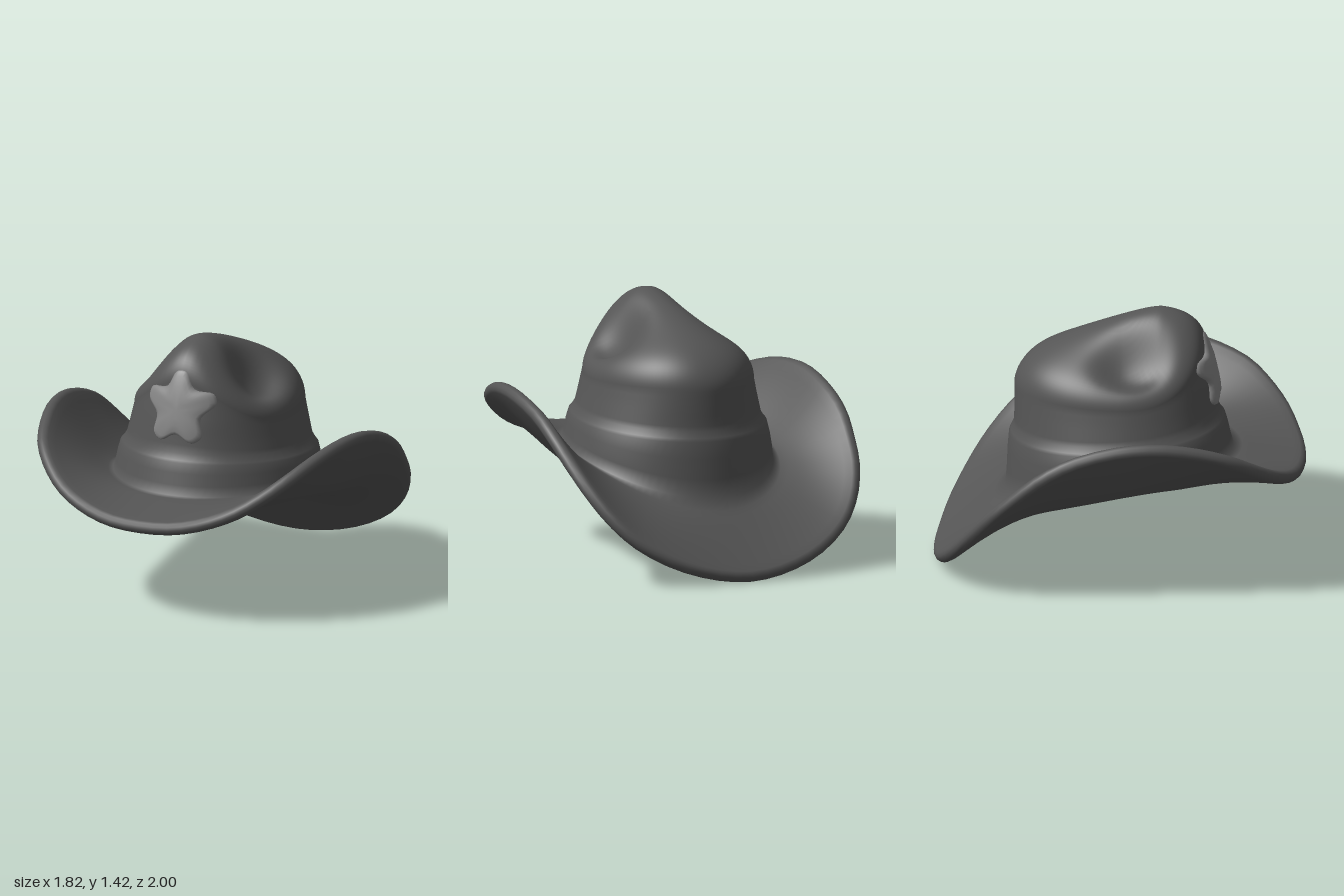
import * as THREE from 'three';
import { mergeVertices } from 'three/addons/utils/BufferGeometryUtils.js';

const SEG = 80;
const felt = new THREE.MeshStandardMaterial({ color: 0x555555 });
felt.name = 'dark grey felt';
const metal = new THREE.MeshStandardMaterial({ color: 0x858585 });
metal.name = 'light grey badge';

// Joins closed rings of Vector3 into one smooth skin
function loft(rings) {
  const n = rings[0].length, pos = [], idx = [];
  rings.forEach(r => r.forEach(p => pos.push(p.x, p.y, p.z)));
  for (let i = 0; i < rings.length - 1; i++) {
    for (let j = 0; j < n; j++) {
      const k = (j + 1) % n;
      const a = i * n + j, b = a + n, c = (i + 1) * n + k, d = i * n + k;
      idx.push(a, b, d, b, c, d);
    }
  }
  let g = new THREE.BufferGeometry();
  g.setAttribute('position', new THREE.Float32BufferAttribute(pos, 3));
  g.setIndex(idx);
  g = mergeVertices(g, 1e-5);
  g.computeVertexNormals();
  return g;
}

// Piecewise linear lookup in [key, value] pairs
function lookup(table, y) {
  if (y <= table[0][0]) return table[0][1];
  for (let i = 1; i < table.length; i++) {
    const [y0, v0] = table[i - 1], [y1, v1] = table[i];
    if (y <= y1) return v0 + (v1 - v0) * (y - y0) / (y1 - y0);
  }
  return table[table.length - 1][1];
}

// Crown half width, front depth and back depth by height
const WIDTH = [[0.35, 0.55], [0.6, 0.535], [0.8, 0.485], [0.9, 0.458], [1.0, 0.433], [1.2, 0.395]];
const FRONT = [[0.6, 0.59], [0.8, 0.54], [0.9, 0.522], [1.0, 0.508], [1.15, 0.475], [1.3, 0.425]];
const BACK = [[0.35, 0.6], [0.6, 0.585], [0.8, 0.573], [1.0, 0.573]];

function wall(phi, y, grow) {
  const c = Math.cos(phi);
  const depth = lookup(c > 0 ? FRONT : BACK, y) + grow;
  return new THREE.Vector3((lookup(WIDTH, y) + grow) * Math.sin(phi), y, depth * c);
}

// Height where the crown meets the middle of the brim
const baseY = phi => 0.595 - 0.333 * Math.pow(Math.max(0, 0.25 - 0.61 * Math.cos(phi)), 1.65);
const bandTop = phi => 0.765 + 0.045 * Math.cos(phi);
const shoulderY = phi => 0.97 + 0.23 * Math.pow(Math.max(0, Math.cos(phi)), 3);

// Central ridge falling to the back, pinched on both sides
function topY(x, z) {
  const ridge = 1.425 - 0.4 * Math.pow(Math.max(0, 0.22 - z), 1.25);
  const r2 = ((Math.abs(x) - 0.265) / 0.115) ** 2 + ((z - 0.09) / 0.18) ** 2;
  return 1.13 + (ridge - 1.13) * Math.exp(-((x / 0.28) ** 2)) - 0.12 * Math.exp(-(r2 ** 1.3));
}

// Crown rings from the apex down to the brim
function crownRings(phis) {
  const rings = [], TOP = 28;
  for (let i = 0; i < TOP; i++) {
    const q = Math.sin((i / TOP) * Math.PI / 2);
    rings.push(phis.map(phi => {
      const yE = shoulderY(phi), e = wall(phi, yE, 0);
      const x = e.x * q, z = e.z * q;
      const power = 4 + 4 * Math.max(0, -Math.cos(phi));
      return new THREE.Vector3(x, yE + (topY(x, z) - yE) * Math.sqrt(1 - q ** power), z);
    }));
  }
  for (let i = 0; i <= 8; i++) {
    rings.push(phis.map(phi => {
      const lo = bandTop(phi) + 0.035, hi = shoulderY(phi);
      return wall(phi, hi + (lo - hi) * i / 8, 0);
    }));
  }
  // Raised hat band at the foot
  for (const [t, bulge] of [[0, 0.6], [0.06, 1], [0.35, 1.1], [0.7, 1], [1, 1.1]]) {
    rings.push(phis.map(phi => {
      const lo = baseY(phi) + 0.033 + 0.03 * Math.max(0, -Math.cos(phi)), hi = bandTop(phi);
      return wall(phi, hi + (lo - hi) * t, 0.022 * bulge);
    }));
  }
  return rings;
}

// Brim edge, left half from front to back
const EDGE = [
  [0, 0.55, 0.99], [0.2, 0.56, 0.974], [0.38, 0.6, 0.928], [0.53, 0.66, 0.867], [0.66, 0.74, 0.77],
  [0.76, 0.82, 0.65], [0.83, 0.885, 0.47], [0.88, 0.92, 0.27], [0.905, 0.91, 0.05], [0.905, 0.84, -0.2],
  [0.9, 0.75, -0.37], [0.87, 0.62, -0.53], [0.83, 0.5, -0.66], [0.75, 0.36, -0.78], [0.63, 0.235, -0.87],
  [0.44, 0.125, -0.945], [0.22, 0.055, -0.985], [0, 0.03, -1],
];

function hatGeometry() {
  const half = EDGE.map(p => new THREE.Vector3(...p));
  const other = half.slice(1, -1).reverse().map(p => new THREE.Vector3(-p.x, p.y, p.z));
  const curve = new THREE.CatmullRomCurve3([...half, ...other], true);
  const edge = [];
  for (let j = 0; j < SEG; j++) {
    const p = curve.getPoint(j / SEG);
    p.x *= 0.965;
    p.z *= 0.968;
    edge.push(p);
  }
  const phis = edge.map(p => Math.atan2(p.x / 0.873, p.z / 0.965));
  const H = 0.036, ROWS = 10;

  // Middle surface of the brim, u = 0 at the crown and 1 at the edge
  const mid = (j, u) => {
    const phi = phis[(j + SEG) % SEG], e = edge[(j + SEG) % SEG];
    const p = wall(phi, baseY(phi), 0.024);
    const bend = 1.05 + 0.4 * Math.sin(phi) ** 2;
    return new THREE.Vector3(
      p.x + (e.x - p.x) * u,
      p.y + (e.y - p.y) * Math.pow(u, bend),
      p.z + (e.z - p.z) * u);
  };
  // Point at an angle around the middle surface: 90 is above, 0 outward, -90 below
  const around = (j, u, deg) => {
    const m = mid(j, u);
    const out = mid(j, u + 0.02).sub(mid(j, Math.max(0, u - 0.02))).normalize();
    const along = mid(j + 1, u).sub(mid(j - 1, u)).normalize();
    const up = new THREE.Vector3().crossVectors(out, along).normalize();
    out.crossVectors(along, up);
    const a = deg * Math.PI / 180;
    return m.addScaledVector(out, H * Math.cos(a)).addScaledVector(up, H * Math.sin(a));
  };
  const brimRing = (u, deg) => edge.map((_, j) => around(j, u, deg));

  const rings = crownRings(phis);
  for (let i = 1; i <= ROWS; i++) rings.push(brimRing(i / ROWS, 90));
  for (const deg of [60, 30, 0, -30, -60]) rings.push(brimRing(1, deg));
  for (let i = ROWS; i >= 0; i--) rings.push(brimRing(i / ROWS, -90));
  // Shallow domed underside inside the brim
  const rim = rings[rings.length - 1];
  for (let i = 9; i >= 0; i--) {
    const q = i / 10;
    rings.push(rim.map(p => new THREE.Vector3(p.x * q, 0.66 + (p.y - 0.66) * q * q, p.z * q)));
  }
  return loft(rings);
}

// Soft five-pointed badge that follows the curve of the crown
function starGeometry() {
  const corners = [];
  for (let i = 0; i < 5; i++) {
    const a = Math.PI / 2 + i * Math.PI * 2 / 5;
    for (const [da, r] of [[-0.15, 0.2], [0.15, 0.2], [Math.PI / 5, 0.135]]) {
      corners.push(new THREE.Vector3(r * Math.cos(a + da), r * Math.sin(a + da), 0));
    }
  }
  const outline = new THREE.CatmullRomCurve3(corners, true).getPoints(60).slice(0, -1);
  const layers = [[0, 0.028], [0.3, 0.028], [0.6, 0.027], [0.85, 0.024], [0.96, 0.018], [1, 0.006], [1, -0.02]];
  return loft(layers.map(([s, lift]) => outline.map(p => {
    const x = p.x * s, y = 1.08 + p.y * s;
    const z = lookup(FRONT, y) * Math.sqrt(1 - (x / lookup(WIDTH, y)) ** 2);
    return new THREE.Vector3(x, y, z + lift);
  })));
}

export function createModel() {
  const group = new THREE.Group();
  group.name = 'hat';
  const hat = new THREE.Mesh(hatGeometry(), felt);
  hat.name = 'crownAndBrim';
  const star = new THREE.Mesh(starGeometry(), metal);
  star.name = 'starBadge';
  group.add(hat, star);
  return group;
}
